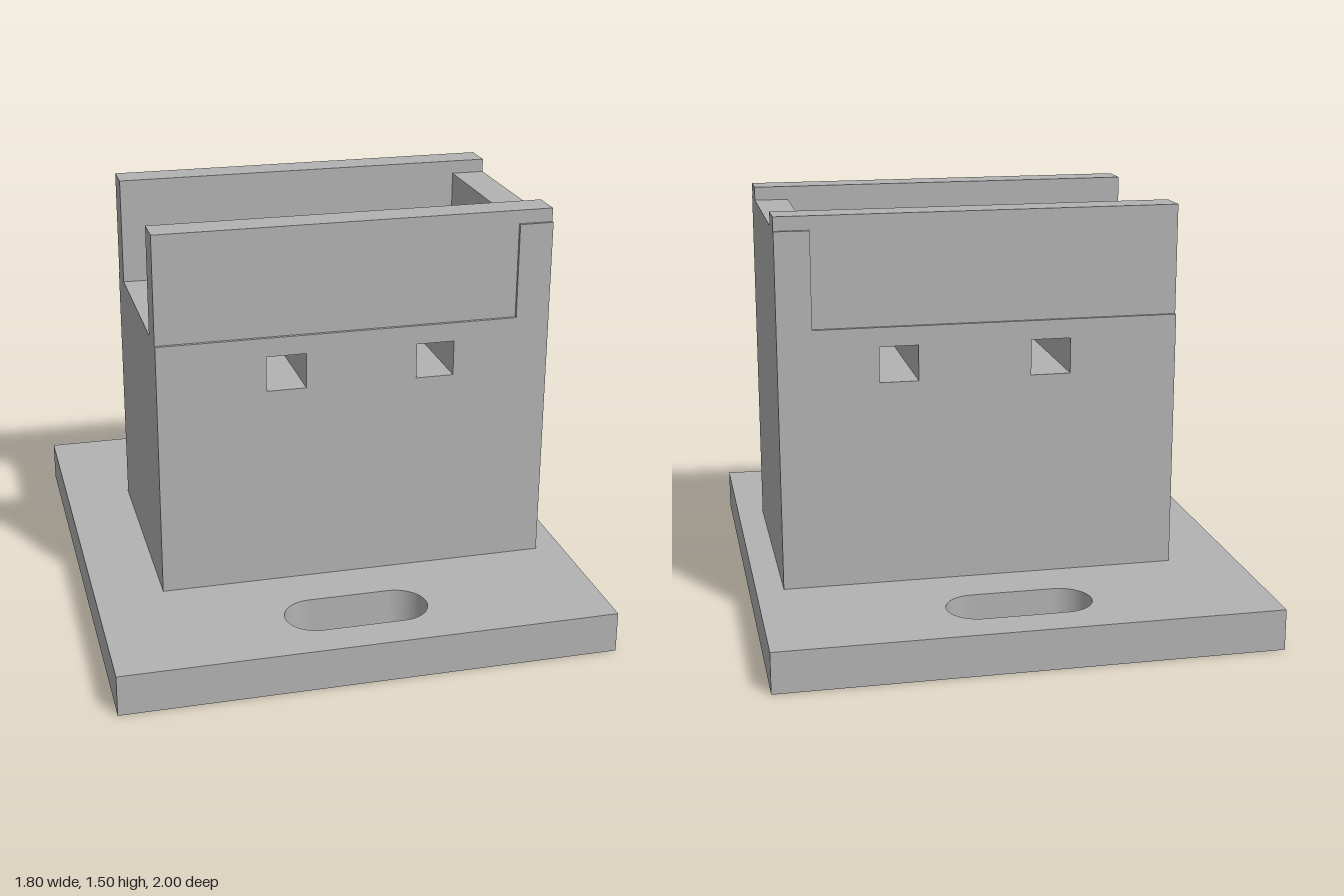
import * as THREE from 'three';

const grey = new THREE.MeshStandardMaterial({ color: 0xb2b2b2 });
grey.name = 'grey';

const polygon = (points) => new THREE.Shape(points.map(([x, y]) => new THREE.Vector2(x, y)));

function rectHole(x0, x1, y0, y1) {
  const p = new THREE.Path();
  p.moveTo(x0, y0).lineTo(x0, y1).lineTo(x1, y1).lineTo(x1, y0).closePath();
  return p;
}

// Rounded slot lying along x
function slotHole(cy, halfLength, r) {
  const c = halfLength - r;
  const p = new THREE.Path();
  p.absarc(c, cy, r, -Math.PI / 2, Math.PI / 2, false);
  p.absarc(-c, cy, r, Math.PI / 2, Math.PI * 1.5, false);
  p.closePath();
  return p;
}

function extrude(name, shape, depth) {
  const geometry = new THREE.ExtrudeGeometry(shape, { depth, bevelEnabled: false, curveSegments: 24 });
  const mesh = new THREE.Mesh(geometry, grey);
  mesh.name = name;
  return mesh;
}

export function createModel() {
  const group = new THREE.Group();
  group.name = 'mountingBracket';

  // Base plate with two mounting slots
  const plate = polygon([[-0.9, -1], [0.9, -1], [0.9, 1], [-0.9, 1]]);
  for (const z of [-0.75, 0.75]) plate.holes.push(slotHole(z, 0.262, 0.112));
  const base = extrude('basePlate', plate, 0.15);
  base.geometry.rotateX(-Math.PI / 2);
  group.add(base);

  // Block with a raised end wall and two square through-holes
  const left = -0.65, right = 0.8, wall = 0.675, ledge = 1.1, wallTop = 1.45, top = 1.5;
  const profile = polygon([[left, 0.15], [right, 0.15], [right, wallTop],
    [wall, wallTop], [wall, ledge], [left, ledge]]);
  profile.holes.push(rectHole(-0.255, -0.11, 0.9, 1.03), rectHole(0.3, 0.44, 0.9, 1.03));
  const block = extrude('block', profile, 0.894);
  block.position.z = -0.447;
  group.add(block);

  // Side walls, recessed from the block faces and lapping over the end wall
  const side = polygon([[left, ledge], [wall, ledge], [wall, wallTop],
    [right, wallTop], [right, top], [left, top]]);
  for (const [name, z] of [['frontWall', 0.315], ['backWall', -0.435]]) {
    const mesh = extrude(name, side, 0.12);
    mesh.position.z = z;
    group.add(mesh);
  }
  return group;
}
